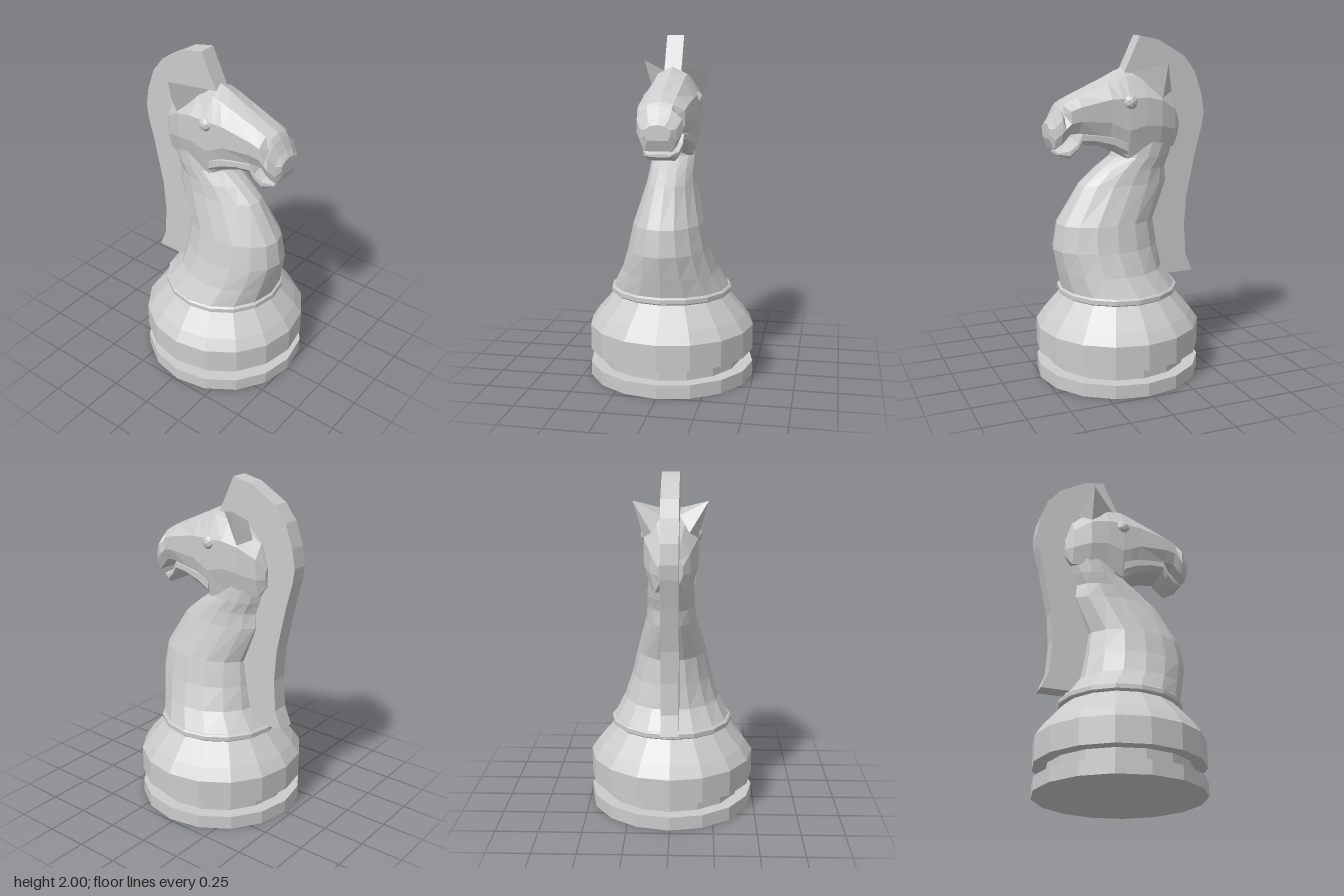
import * as THREE from 'three';
import { ConvexGeometry } from 'three/addons/geometries/ConvexGeometry.js';

const material = new THREE.MeshStandardMaterial({ color: 0xcccccc, flatShading: true });

function addMesh(parent, name, geometry) {
  const mesh = new THREE.Mesh(geometry, material);
  mesh.name = name;
  parent.add(mesh);
  return mesh;
}

// Skin a list of equal-length rings and close both ends.
// Rings run counter-clockwise as seen from the end they advance towards.
function loft(rings) {
  const out = [];
  const tri = (a, b, c) => out.push(...a, ...b, ...c);
  const n = rings[0].length;
  for (let i = 0; i < rings.length - 1; i++) {
    const a = rings[i], b = rings[i + 1];
    for (let j = 0; j < n; j++) {
      const k = (j + 1) % n;
      tri(a[j], a[k], b[k]);
      tri(a[j], b[k], b[j]);
    }
  }
  const centre = (r) => [0, 1, 2].map((c) => r.reduce((s, p) => s + p[c], 0) / n);
  const first = rings[0], last = rings[rings.length - 1];
  for (let j = 0; j < n; j++) {
    const k = (j + 1) % n;
    tri(centre(first), first[k], first[j]);
    tri(centre(last), last[j], last[k]);
  }
  const g = new THREE.BufferGeometry();
  g.setAttribute('position', new THREE.Float32BufferAttribute(out, 3));
  g.computeVertexNormals();
  return g;
}

// Horizontal oval section of the neck
function neckRing([y, back, front, halfWidth]) {
  const ring = [];
  for (let i = 0; i < 16; i++) {
    const a = (i / 16) * Math.PI * 2;
    ring.push([(back + front) / 2 + Math.cos(a) * (front - back) / 2, y, -Math.sin(a) * halfWidth]);
  }
  return ring;
}

// Upright section of the head; pinch draws in the upper side for the nostrils
function headRing([x, bottom, top, w, pinch = 1]) {
  const side = [[0.55, 0.92], [pinch, 0.68], [1, 0.32], [0.78, 0]];
  const at = (z, t) => [x, bottom + (top - bottom) * t, z * w];
  return [
    at(0, 1),
    ...side.map(([z, t]) => at(z, t)),
    at(0, 0),
    ...side.slice().reverse().map(([z, t]) => at(-z, t)),
  ];
}

export function createModel() {
  const model = new THREE.Group();
  model.name = 'chessKnight';

  // Turned base with a groove and a collar
  const profile = [
    [0, 0], [0.49, 0], [0.49, 0.08], [0.415, 0.08], [0.415, 0.16], [0.49, 0.16],
    [0.49, 0.31], [0.445, 0.375], [0.335, 0.5], [0.35, 0.5], [0.36, 0.508],
    [0.36, 0.533], [0.35, 0.542], [0, 0.542],
  ].map(([r, y]) => new THREE.Vector2(r, y));
  addMesh(model, 'base', new THREE.LatheGeometry(profile, 16)).position.x = 0.025;

  // Neck: height, back x, front x, half width
  addMesh(model, 'neck', loft([
    [0.54, -0.32, 0.37, 0.345],
    [0.65, -0.24, 0.395, 0.285],
    [0.785, -0.215, 0.423, 0.238],
    [0.935, -0.195, 0.4, 0.205],
    [1.155, -0.285, 0.265, 0.147],
    [1.24, -0.275, 0.165, 0.138],
    [1.31, -0.3, 0.065, 0.135],
    [1.47, -0.35, 0.0, 0.125],
    [1.66, -0.3, -0.05, 0.1],
  ].map(neckRing)));

  // Head from poll to muzzle: x, bottom, top, half width, nostril pinch
  addMesh(model, 'head', loft([
    [-0.34, 1.42, 1.55, 0.07],
    [-0.3, 1.36, 1.68, 0.11],
    [-0.2, 1.36, 1.77, 0.148],
    [-0.1, 1.36, 1.8, 0.157],
    [0, 1.31, 1.82, 0.157],
    [0.05, 1.35, 1.8, 0.152],
    [0.11, 1.41, 1.77, 0.148],
    [0.29, 1.47, 1.687, 0.138],
    [0.345, 1.465, 1.66, 0.133],
    [0.375, 1.43, 1.645, 0.131, 0.68],
    [0.395, 1.41, 1.62, 0.126, 1],
    [0.43, 1.38, 1.56, 0.1],
    [0.455, 1.44, 1.525, 0.072],
  ].map(headRing)));

  // Lower jaw and lip
  addMesh(model, 'lowerJaw', loft([
    [0.01, 1.31, 1.45, 0.14],
    [0.09, 1.36, 1.47, 0.135],
    [0.19, 1.395, 1.48, 0.125],
    [0.275, 1.4, 1.49, 0.115],
    [0.3, 1.365, 1.43, 0.112],
    [0.345, 1.32, 1.395, 0.1],
    [0.405, 1.345, 1.362, 0.065],
  ].map(headRing)));

  // Upright mane running from the forehead down the back
  const mane = new THREE.Shape([
    [-0.455, 0.57], [-0.2, 0.57], [-0.17, 0.93], [-0.22, 1.2], [-0.25, 1.45],
    [-0.15, 1.7], [0, 1.79], [-0.1, 2], [-0.217, 1.975], [-0.38, 1.88],
    [-0.45, 1.79], [-0.497, 1.66], [-0.515, 1.55], [-0.505, 1.47], [-0.465, 1.315],
    [-0.41, 1.05], [-0.397, 0.865], [-0.41, 0.68],
  ].map(([x, y]) => new THREE.Vector2(x, y)));
  addMesh(model, 'mane', new THREE.ExtrudeGeometry(mane, { depth: 0.1, bevelEnabled: false }))
    .position.z = -0.05;

  // Pointed ears and round eyes on both sides
  for (const [side, s] of [['left', 1], ['right', -1]]) {
    const ear = [
      [-0.205, 1.852, 0.21], [-0.045, 1.795, 0.06], [-0.275, 1.685, 0.105],
      [-0.2, 1.65, 0.15], [-0.2, 1.77, 0.05],
    ].map(([x, y, z]) => new THREE.Vector3(x, y, z * s));
    addMesh(model, side + 'Ear', new ConvexGeometry(ear));
    addMesh(model, side + 'Eye', new THREE.IcosahedronGeometry(0.046, 1))
      .position.set(-0.003, 1.635, 0.133 * s);
  }
  return model;
}
